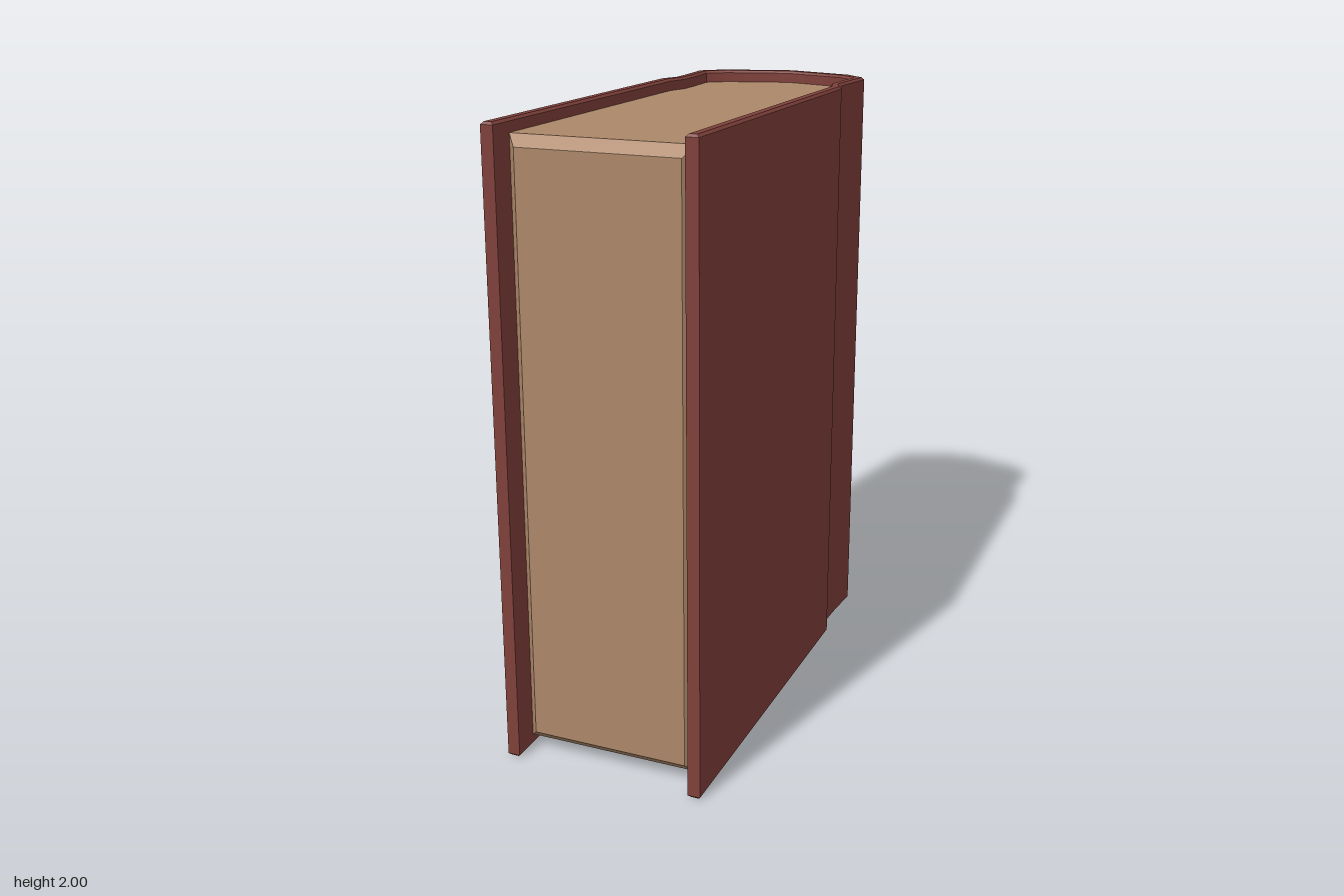
import * as THREE from 'three';
import { toCreasedNormals } from 'three/addons/utils/BufferGeometryUtils.js';

const BEVEL = 0.008;

// Half profiles as [x, z], running from the open edge to the middle of the spine
const OUTER = [[0.33, 0.825], [0.33, -0.385], [0.303, -0.455], [0.306, -0.55], [0.315, -0.688], [0.24, -0.757], [0, -0.825]];
const INNER = [[0.29, 0.825], [0.29, -0.378], [0.267, -0.455], [0.268, -0.55], [0.276, -0.67], [0.215, -0.72], [0, -0.783]];

// Full outline: the half profile, then its mirror image back to the open edge
function mirrored(half) {
  return [...half, ...half.slice(0, -1).reverse().map(([x, z]) => [-x, z])];
}

// Upright prism between two heights
function prism(points, y0, y1, bevel) {
  const shape = new THREE.Shape(points.map(([x, z]) => new THREE.Vector2(x, -z)));
  const geo = new THREE.ExtrudeGeometry(shape, {
    depth: y1 - y0 - 2 * bevel,
    bevelEnabled: bevel > 0,
    bevelSize: bevel,
    bevelThickness: bevel,
    bevelOffset: -bevel,
    bevelSegments: 1,
  });
  geo.rotateX(-Math.PI / 2);
  geo.translate(0, y0 + bevel, 0);
  return toCreasedNormals(geo, 0.6);
}

export function createModel() {
  const book = new THREE.Group();
  book.name = 'book';

  const leather = new THREE.MeshStandardMaterial({ color: 0x7f403a });
  leather.name = 'red leather';
  const paper = new THREE.MeshStandardMaterial({ color: 0xac8768 });
  paper.name = 'aged paper';

  const add = (name, geometry, material, parent = book) => {
    const mesh = new THREE.Mesh(geometry, material);
    mesh.name = name;
    parent.add(mesh);
    return mesh;
  };

  // Both boards and the rounded spine in one wrap
  add('cover', prism([...mirrored(OUTER), ...mirrored(INNER).reverse()], 0, 2, BEVEL), leather);

  // Page block filling the inside of the cover
  const pages = new THREE.Group();
  pages.name = 'pages';
  book.add(pages);
  const block = INNER.map(([x, z], i) => [x * 0.997, i === 0 ? 0.737 : z + 0.001]);
  add('pageBlock', prism(mirrored(block), 0.038, 1.96, 0), paper, pages);

  // Chamfered fore edge of the pages
  const edge = new THREE.BoxGeometry(0.578, 1.922, 0.036);
  const pos = edge.attributes.position;
  for (let i = 0; i < pos.count; i++) {
    if (pos.getZ(i) > 0) {
      pos.setX(i, Math.sign(pos.getX(i)) * 0.257);
      pos.setY(i, Math.sign(pos.getY(i)) * 0.927);
    }
  }
  edge.computeVertexNormals();
  add('foreEdge', edge, paper, pages).position.set(0, 0.999, 0.755);

  // Narrow worn slits near the ends of the spine
  for (const side of [-1, 1]) {
    for (const y of [0.255, 1.755]) {
      const slit = add('spineSlit', new THREE.BoxGeometry(0.016, 0.24, 0.006), paper);
      slit.position.set(side * 0.246, y, -0.751);
      slit.rotation.y = side * 0.74;
    }
  }

  return book;
}
